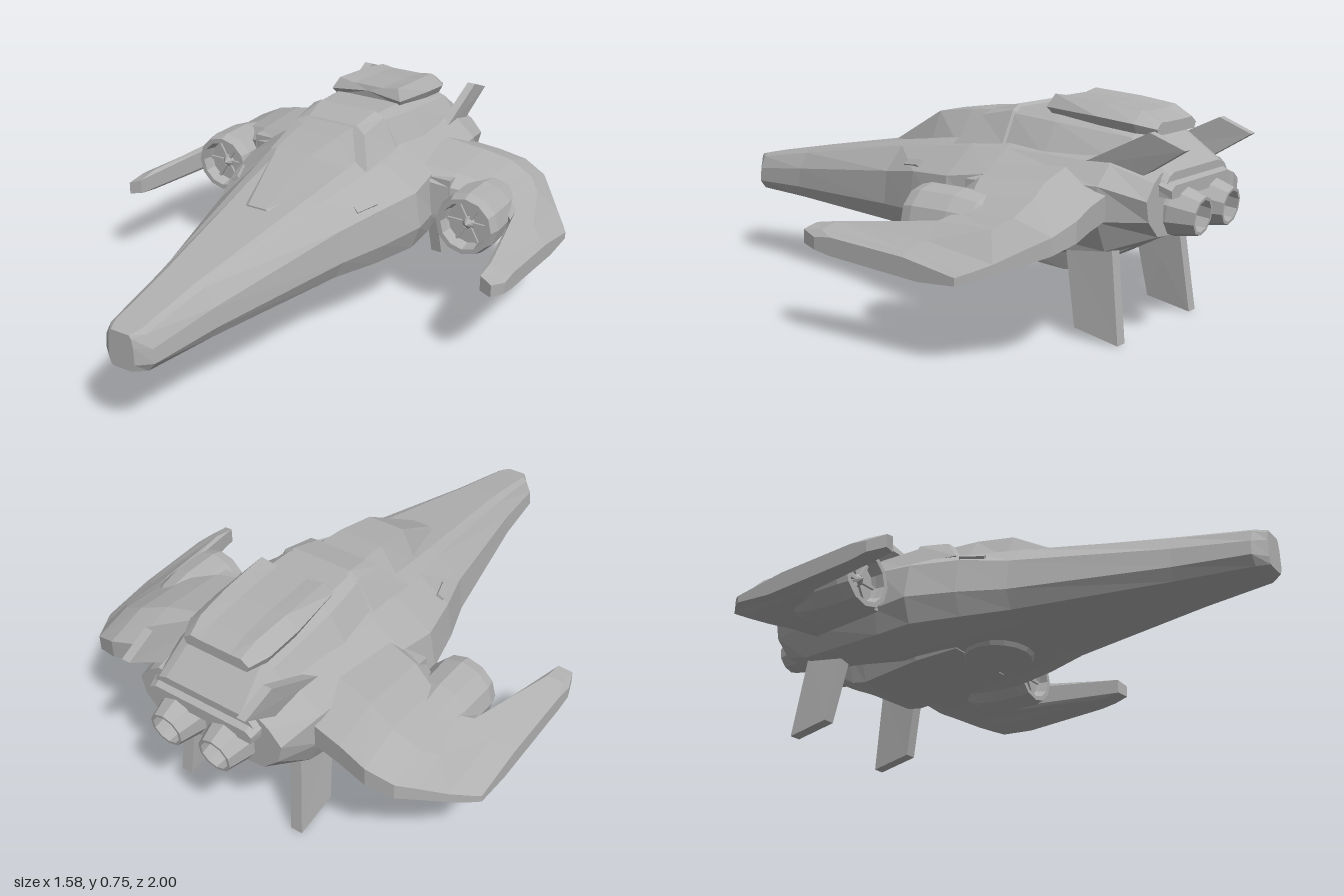
import * as THREE from 'three';

const hull = new THREE.MeshStandardMaterial({ color: 0xb0b0b0, flatShading: true });
hull.name = 'hull grey';

// Solid skin over a row of rings ([x, y, z] corners), with capped ends.
function loft(rings) {
  const tris = [];
  const n = rings[0].length;
  for (let i = 0; i + 1 < rings.length; i++) {
    for (let j = 0; j < n; j++) {
      const k = (j + 1) % n;
      const a = rings[i][j], b = rings[i][k], c = rings[i + 1][k], d = rings[i + 1][j];
      tris.push([a, b, c], [a, c, d]);
    }
  }
  const cap = (ring, flip) => {
    const mid = [0, 1, 2].map(q => ring.reduce((t, p) => t + p[q], 0) / n);
    ring.forEach((p, j) => {
      const next = ring[(j + 1) % n];
      tris.push(flip ? [mid, next, p] : [mid, p, next]);
    });
  };
  cap(rings[0], true);
  cap(rings[rings.length - 1], false);
  // Turn every face outwards, whichever way the rings run.
  let volume = 0;
  for (const [a, b, c] of tris) {
    volume += a[0] * (b[1] * c[2] - b[2] * c[1]) + a[1] * (b[2] * c[0] - b[0] * c[2]) + a[2] * (b[0] * c[1] - b[1] * c[0]);
  }
  if (volume < 0) tris.forEach(t => t.reverse());
  const geo = new THREE.BufferGeometry();
  geo.setAttribute('position', new THREE.Float32BufferAttribute(tris.flat(2), 3));
  geo.computeVertexNormals();
  return geo;
}

// Loft mirrored in x: each section is [z, [x, y, dz?], ...] from top to bottom.
function symmetric(sections) {
  return loft(sections.map(([z, ...pts]) => {
    const half = pts.map(([x, y, dz = 0]) => [x, y, z + dz]);
    return [...half, ...half.slice().reverse().map(([x, y, w]) => [-x, y, w])];
  }));
}

export function createModel() {
  const model = new THREE.Group();
  model.name = 'spacecraft';
  const add = (name, geo, parent = model) => {
    const mesh = new THREE.Mesh(geo, hull);
    mesh.name = name;
    parent.add(mesh);
    return mesh;
  };
  const lathe = (pts, sides) => new THREE.LatheGeometry(pts.map(p => new THREE.Vector2(...p)), sides);

  // Wedge-shaped hull
  add('fuselage', symmetric([
    [1.0, [.035, .41], [.042, .4], [.048, .37], [.05, .31], [.04, .285], [.02, .283]],
    [.96, [.05, .418], [.068, .405], [.09, .36], [.095, .31], [.07, .278], [.03, .276]],
    [.7, [.065, .463], [.09, .447], [.13, .39], [.137, .32], [.115, .278], [.06, .275]],
    [.15, [.125, .55], [.165, .535], [.25, .455], [.265, .34], [.235, .275], [.14, .265]],
    [-.02, [.14, .575], [.19, .556], [.31, .48], [.328, .35], [.295, .27], [.19, .24]],
    [-.2, [.15, .6], [.22, .575], [.355, .49], [.378, .36], [.345, .27], [.21, .236]],
    [-.35, [.15, .62], [.23, .582], [.345, .51], [.36, .36], [.335, .27], [.21, .225]],
    [-.75, [.2, .6], [.25, .57], [.32, .51], [.32, .4], [.27, .3], [.19, .285]],
    [-.9, [.2, .55], [.24, .525], [.285, .475], [.27, .41], [.21, .355], [.15, .35]],
  ]));

  // Belly keel and underside hatch
  add('keel', symmetric([
    [-.14, [.16, .26], [.15, .234]],
    [-.3, [.19, .26], [.175, .215]],
    [-.54, [.19, .28], [.165, .19]],
    [-.6, [.19, .3], [.165, .2]],
    [-.88, [.19, .42], [.17, .35]],
  ]));
  const hatch = add('bellyHatch', new THREE.CylinderGeometry(.14, .13, .016, 16));
  hatch.position.set(0, .235, -.06);
  hatch.scale.z = .9;

  // Cockpit canopy, its hood and the spine behind
  add('canopy', symmetric([
    [.28, [.035, .535], [.05, .525]],
    [.05, [.07, .658], [.125, .55]],
    [-.1, [.085, .678], [.165, .56]],
    [-.24, [.09, .685], [.17, .57]],
  ]));
  add('canopyHood', symmetric([
    [-.11, [.1, .69, -.1], [.145, .67, -.08], [.205, .57]],
    [-.32, [.115, .714], [.15, .695], [.21, .59]],
    [-.34, [.11, .7], [.14, .685], [.2, .59]],
  ]));
  add('dorsalSpine', symmetric([
    [-.32, [.12, .705], [.15, .685], [.21, .58]],
    [-.5, [.13, .7], [.17, .672], [.235, .57]],
    [-.78, [.13, .66], [.17, .645], [.23, .565]],
    [-.92, [.15, .55], [.18, .54], [.2, .52]],
  ]));
  add('dorsalPod', symmetric([
    [-.47, [.06, .747], [.125, .757], [.147, .715, .02], [.135, .69]],
    [-.65, [.06, .735], [.12, .742], [.165, .7], [.15, .67]],
    [-.78, [.06, .718], [.11, .725], [.16, .685], [.145, .655]],
    [-.845, [.06, .688], [.1, .69], [.13, .67], [.12, .65]],
  ]));

  // Overhanging tail deck
  add('tailDeck', symmetric([
    [-.8, [.2, .575], [.235, .56], [.23, .49]],
    [-.94, [.18, .515], [.205, .5], [.2, .475]],
  ]));

  for (const s of [1, -1]) {
    const side = new THREE.Group();
    side.name = s > 0 ? 'leftSide' : 'rightSide';
    model.add(side);

    // Drooping wing with a forward prong: x, front z, back z, top y, bottom y, rise of the front
    const stations = [
      [.27, -.3, -.77, .55, .35, 0], [.42, -.33, -.79, .525, .34, 0], [.52, -.38, -.805, .495, .33, 0],
      [.61, -.4, -.78, .45, .315, 0], [.655, -.36, -.73, .415, .3, .01], [.722, .03, -.655, .36, .275, .03],
      [.768, .045, -.6, .33, .26, .04], [.79, -.02, -.57, .315, .253, .04],
    ];
    add('wing', loft(stations.map(([x, f, b, t, u, rise]) => {
      const at = (k, y) => [s * x, u + (t - u) * y + rise * (1 - k), f + (b - f) * k];
      return [at(0, .75), at(.12, .95), at(.65, 1), at(1, .7), at(1, .3), at(.75, 0), at(.12, 0), at(0, .1)];
    })), side);

    // Intake nacelle with recessed fan
    const nacelle = new THREE.Group();
    nacelle.name = 'nacelle';
    nacelle.position.set(s * .527, .385, -.24);
    side.add(nacelle);
    const shell = add('nacelleShell', lathe([
      [0, -.33], [.06, -.32], [.1, -.25], [.115, -.17], [.118, -.04], [.108, 0],
      [.09, 0], [.085, -.03], [.08, -.045], [0, -.045],
    ], 12), nacelle);
    shell.rotation.x = Math.PI / 2;
    const hub = add('fanHub', new THREE.ConeGeometry(.028, .03, 10), nacelle);
    hub.rotation.x = Math.PI / 2;
    hub.position.z = -.032;
    for (let i = 0; i < 6; i++) {
      const angle = i * Math.PI / 3;
      const blade = add('fanBlade', new THREE.BoxGeometry(.06, .012, .012), nacelle);
      blade.position.set(Math.cos(angle) * .05, Math.sin(angle) * .05, -.042);
      blade.rotation.z = angle;
    }
    const pylon = add('nacellePylon', new THREE.BoxGeometry(.1, .16, .22), side);
    pylon.position.set(s * .375, .425, -.44);

    // Tail fins above and below, leaning slightly outwards
    const fin = (name, outline, thick) => add(name, loft([-1, 1].map(e =>
      outline.map(([z, y, x]) => [s * (x + e * thick / 2), y, z]))), side);
    fin('upperFin', [[-.62, .55, .23], [-.885, .678, .235], [-1, .632, .228], [-.82, .52, .215]], .032);
    fin('lowerFin', [[-.59, .3, .218], [-.64, .035, .238], [-.8, .003, .24], [-.755, .35, .218]], .044);

    // Engine nozzle, angled slightly down
    const nozzle = add('engineNozzle', lathe([
      [.085, 0], [.085, .08], [.062, .165], [.052, .165], [.06, .08], [0, .08],
    ], 10), side);
    nozzle.rotation.x = -Math.PI / 2 - .12;
    nozzle.position.set(s * .098, .433, -.83);

    // Shoulder vent
    const vent = add('shoulderVent', new THREE.BoxGeometry(.028, .012, .09), side);
    vent.position.set(s * .268, .5, .01);
    vent.rotation.set(.1, -s * .35, -s * .6);
  }
  return model;
}
